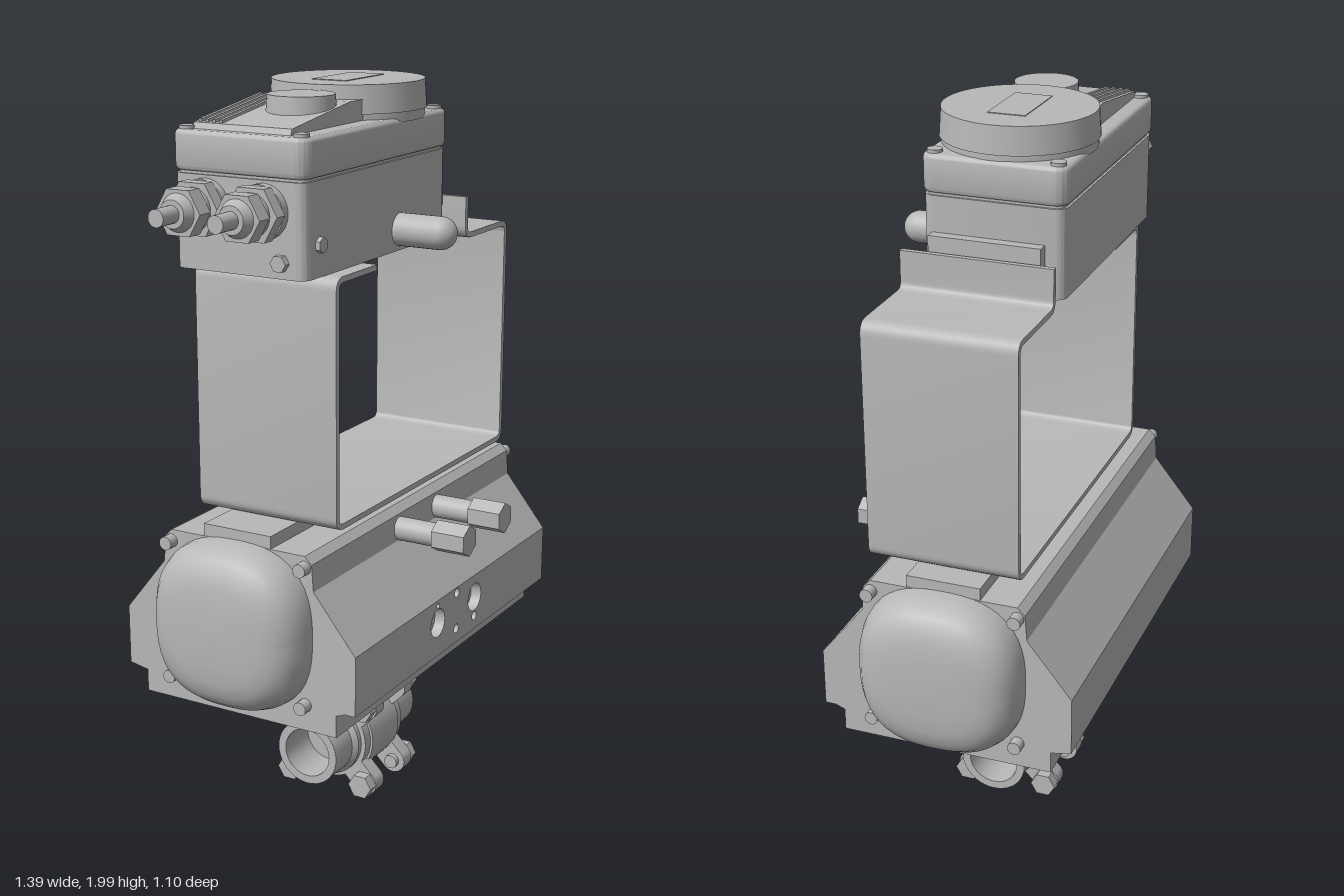
import * as THREE from 'three';
import { toCreasedNormals } from 'three/addons/utils/BufferGeometryUtils.js';

const metal = new THREE.MeshStandardMaterial({ color: 0xb8b8b8 });
metal.name = 'grey metal';

export function createModel() {
  const model = new THREE.Group();
  model.name = 'valveActuator';
  // local x runs along the actuator, which is turned about the vertical
  model.rotation.y = THREE.MathUtils.degToRad(25);
  model.position.x = 0.01;

  const add = (name, geo, x = 0, y = 0, z = 0, parent = model) => {
    const m = new THREE.Mesh(geo, metal);
    m.name = name;
    m.position.set(x, y, z);
    parent.add(m);
    return m;
  };
  const box = (name, w, h, d, x, y, z) => add(name, new THREE.BoxGeometry(w, h, d), x, y, z);
  // cylinder or prism along an axis, from a to b measured on that axis
  const rod = (name, axis, r, a, b, x, y, z, sides = 28, r2 = r) => {
    let g = new THREE.CylinderGeometry(r2, r, Math.abs(b - a), sides);
    if (sides < 10) g = toCreasedNormals(g, 0.3);
    if (axis === 'x') g.rotateZ(-Math.PI / 2);
    if (axis === 'z') g.rotateX(Math.PI / 2);
    const p = new THREE.Vector3(x, y, z);
    p[axis] = (a + b) / 2;
    return add(name, g, p.x, p.y, p.z);
  };
  const poly = (pts) => new THREE.Shape(pts.map(([a, b]) => new THREE.Vector2(a, b)));
  const extrude = (shape, depth, bevel = 0) => toCreasedNormals(new THREE.ExtrudeGeometry(shape, {
    depth, bevelEnabled: bevel > 0, bevelSize: bevel, bevelThickness: bevel,
    bevelOffset: -bevel, bevelSegments: 3, curveSegments: 10,
  }), 0.6);
  const hole = (x, y, r) => new THREE.Path().absarc(x, y, r, 0, Math.PI * 2, true);
  const roundRect = (x0, x1, y0, y1, r) => {
    const s = new THREE.Shape();
    s.absarc(x1 - r, y1 - r, r, 0, Math.PI / 2);
    s.absarc(x0 + r, y1 - r, r, Math.PI / 2, Math.PI);
    s.absarc(x0 + r, y0 + r, r, Math.PI, Math.PI * 1.5);
    s.absarc(x1 - r, y0 + r, r, Math.PI * 1.5, Math.PI * 2);
    return s;
  };

  // Actuator body: one cross-section swept along its length, front face left open for the port plate
  const section = [[-0.29, 0.42], [-0.29, 0.48], [-0.315, 0.49], [-0.315, 0.65], [-0.345, 0.65],
    [-0.225, 0.8], [-0.22, 0.87], [-0.2, 0.89], [0.2, 0.89], [0.22, 0.87], [0.225, 0.8],
    [0.345, 0.65], [0.345, 0.49], [0.29, 0.48], [0.29, 0.42]];
  const body = extrude(poly(section), 1.12);
  body.rotateY(Math.PI / 2);
  add('actuatorBody', body, -0.56);
  box('topRail', 1.116, 0.034, 0.2, 0, 0.906, 0);

  // Port plate with drilled holes
  const plate = poly([[-0.56, 0.49], [0.56, 0.49], [0.56, 0.65], [-0.56, 0.65]]);
  for (const [x, y, r] of [[-0.115, 0.585, 0.04], [0.105, 0.585, 0.04], [-0.115, 0.634, 0.0075],
    [-0.005, 0.634, 0.013], [-0.005, 0.53, 0.013], [0.105, 0.53, 0.013]]) plate.holes.push(hole(x, y, r));
  add('portPlate', extrude(plate, 0.03), 0, 0, 0.315);

  // Squarish domed end caps with corner bolts
  const profile = [[0.222, 0], [0.22, 0.03], [0.21, 0.062], [0.192, 0.088], [0.165, 0.106],
    [0.13, 0.115], [0.08, 0.12], [0, 0.121]].map(([r, y]) => new THREE.Vector2(r, y));
  for (const s of [-1, 1]) {
    const dome = new THREE.LatheGeometry(profile, 56);
    const p = dome.attributes.position;
    for (let i = 0; i < p.count; i++) {
      const a = Math.atan2(p.getZ(i), p.getX(i));
      const k = (Math.abs(Math.cos(a)) ** 2.6 + Math.abs(Math.sin(a)) ** 2.6) ** (-1 / 2.6);
      p.setXYZ(i, p.getX(i) * k, p.getY(i), p.getZ(i) * k);
    }
    dome.computeVertexNormals();
    dome.rotateZ(-s * Math.PI / 2);
    add('endCap', dome, s * 0.56, 0.675, 0);
    for (const z of [-0.2, 0.2]) for (const y of [0.49, 0.86]) {
      rod('endCapBolt', 'x', 0.018, s * 0.55, s * 0.59, 0, y, z, 16);
    }
  }

  // Air fittings on the upper front
  for (const x of [-0.107, 0.108]) {
    rod('fittingNeck', 'z', 0.032, 0.2, 0.34, x, 0.83, 0);
    rod('fittingHex', 'z', 0.043, 0.335, 0.43, x, 0.83, 0, 6);
  }

  // Bracket: sheet strip bent along a path with rounded corners
  const path = [[0.247, 1.67], [0.247, 1.5625], [0.495, 1.5625], [0.495, 0.93],
    [-0.445, 0.93], [-0.445, 1.5625], [-0.25, 1.5625]].map(([x, y]) => new THREE.Vector2(x, y));
  const line = [path[0]];
  for (let i = 1; i < path.length - 1; i++) {
    const c = path[i], R = 0.028;
    const a = path[i - 1].clone().sub(c).setLength(R).add(c);
    const b = path[i + 1].clone().sub(c).setLength(R).add(c);
    line.push(...new THREE.QuadraticBezierCurve(a, c, b).getPoints(6));
  }
  line.push(path[path.length - 1]);
  const side = (d) => line.map((pt, i) => {
    const t = line[Math.min(i + 1, line.length - 1)].clone().sub(line[Math.max(i - 1, 0)]).normalize();
    return new THREE.Vector2(pt.x - t.y * d, pt.y + t.x * d);
  });
  const strip = new THREE.Shape([...side(0.0075), ...side(-0.0075).reverse()]);
  add('bracket', extrude(strip, 0.41), 0, 0, -0.182);

  // Positioner housing, seam and lid
  const slab = (name, inset, y0, y1, r, bevel = 0) => {
    const g = extrude(roundRect(-0.53 + inset, 0.207 - inset, -0.19 + inset, 0.195 - inset, r),
      y1 - y0 - 2 * bevel, bevel);
    g.rotateX(-Math.PI / 2);
    add(name, g, 0, y0 + bevel, 0);
  };
  slab('positionerHousing', 0.004, 1.57, 1.805, 0.03);
  slab('lidSeam', 0.01, 1.8, 1.815, 0.025);
  slab('lid', 0, 1.811, 1.91, 0.035, 0.012);
  box('sideRidge', 0.03, 0.1, 0.3, 0.218, 1.66, 0.01);

  // Sloping raised panel on the lid with cooling ribs
  const wedge = poly([[-0.5, 1.9], [0.12, 1.9], [0.12, 1.965], [-0.22, 1.962], [-0.49, 1.925]]);
  add('lidPanel', extrude(wedge, 0.28), 0, 0, -0.15);
  for (let i = 0; i < 4; i++) {
    const rib = box('coolingRib', 0.28, 0.008, 0.009, -0.345, 1.948, -0.135 + i * 0.02);
    rib.rotation.z = Math.atan2(0.037, 0.27);
  }
  rod('displayHousing', 'y', 0.2, 1.9, 1.985, 0, 0, 0, 64);
  rod('displayCover', 'y', 0.205, 1.925, 1.998, 0, 0, 0, 64, 0.2);
  box('displayWindow', 0.2, 0.004, 0.1, 0, 1.998, 0);
  rod('smallDial', 'y', 0.09, 1.92, 1.985, -0.292, 0, 0.035, 40, 0.085);
  for (const x of [-0.497, 0.175]) for (const z of [-0.165, 0.16]) {
    rod('lidScrew', 'y', 0.02, 1.9, 1.918, x, 0, z, 20);
  }

  // Cable glands on the end
  for (const z of [-0.095, 0.072]) {
    rod('glandCollar', 'x', 0.068, -0.52, -0.55, 0, 1.73, z);
    rod('glandHex', 'x', 0.074, -0.55, -0.585, 0, 1.73, z, 6);
    rod('glandNeck', 'x', 0.054, -0.58, -0.605, 0, 1.73, z);
    rod('glandNut', 'x', 0.064, -0.6, -0.645, 0, 1.73, z, 6);
    rod('glandTip', 'x', 0.035, -0.64, -0.67, 0, 1.73, z, 28, 0.05);
    rod('cable', 'x', 0.022, -0.66, -0.735, 0, 1.73, z);
  }
  rod('groundScrew', 'x', 0.022, -0.52, -0.545, 0, 1.61, 0.12, 6);
  rod('housingScrew', 'z', 0.02, 0.18, 0.198, -0.46, 1.65, 0, 6);

  // Rounded vent plug on the front
  const vent = new THREE.CapsuleGeometry(0.043, 0.14, 10, 28);
  vent.rotateX(Math.PI / 2);
  add('ventPlug', vent, -0.055, 1.625, 0.235);

  // Feedback shaft below the positioner
  rod('shaftWasher', 'y', 0.052, 1.543, 1.556, -0.292, 0, 0.035);
  rod('feedbackShaft', 'y', 0.019, 1.48, 1.58, -0.292, 0, 0.035);

  // Valve neck and body
  const cy = 0.165;
  rod('mountCollar', 'y', 0.11, 0.4, 0.425, 0, 0, 0, 40);
  rod('valveNeck', 'y', 0.065, 0.22, 0.41, 0, 0, 0, 36);
  rod('valveBody', 'x', 0.125, -0.075, 0.075, 0, cy, 0, 40);

  // Flanges with four diagonal ears, bolts and hollow pipe ends on both sides
  const tube = [[0.07, 0.05], [0.105, 0.05], [0.105, 0.12], [0.093, 0.135], [0.093, 0.225],
    [0.07, 0.225], [0.07, 0.05]].map(([r, y]) => new THREE.Vector2(r, y));
  for (const s of [-1, 1]) {
    const pipe = toCreasedNormals(new THREE.LatheGeometry(tube, 40), 0.6);
    pipe.rotateZ(-s * Math.PI / 2);
    add('pipeEnd', pipe, 0, cy, 0);
    rod('flangeDisc', 'x', 0.118, s * 0.06, s * 0.105, 0, cy, 0, 40);
    for (const ey of [-1, 1]) for (const ez of [-1, 1]) {
      const ear = extrude(roundRect(0, 0.2, -0.037, 0.037, 0.036), 0.045);
      ear.rotateZ(Math.atan2(ey, ez));
      ear.rotateY(-Math.PI / 2);
      add('flangeEar', ear, s * 0.0825 + 0.0225, cy, 0);
      const y = cy + ey * 0.116, z = ez * 0.116;
      rod('boltHead', 'x', 0.036, s * 0.1, s * 0.135, 0, y, z, 6);
      rod('boltEnd', 'x', 0.02, s * 0.045, s * 0.08, 0, y, z, 16);
    }
  }
  return model;
}
